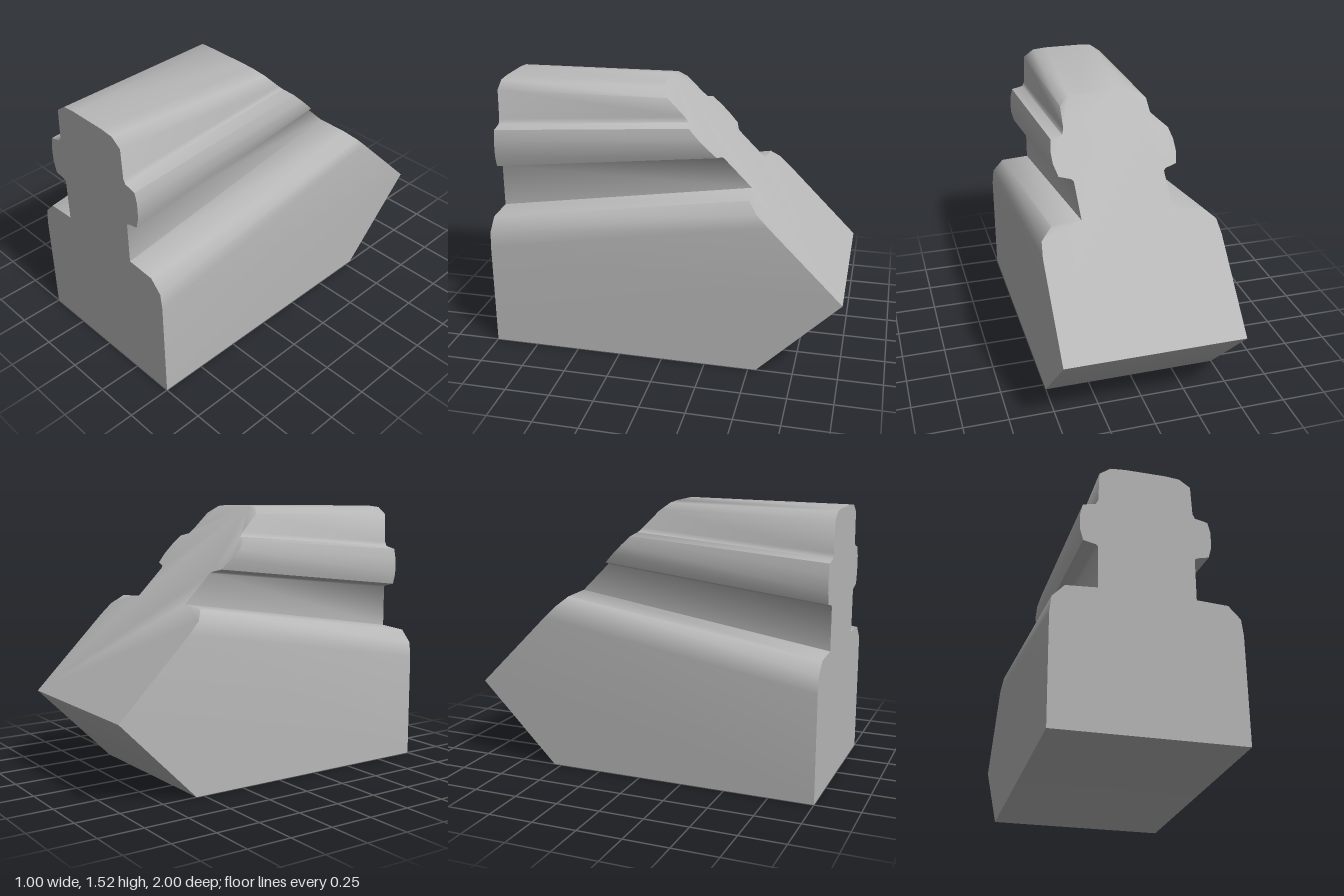
import * as THREE from 'three';
import { toCreasedNormals } from 'three/addons/utils/BufferGeometryUtils.js';

// Right half of the section, bottom to top: [x, y at the front, y at the slanted back]
const HALF = [
  [0.5, 0, 0.455],
  [0.5, 0.6, 0.87],
  [0.49, 0.69, 0.935],
  [0.425, 0.76, 0.987],
  [0.257, 0.77, 0.997],
  [0.257, 1.01, 1.155],
  [0.27, 1.02, 1.165],
  [0.335, 1.035, 1.18],
  [0.352, 1.1, 1.235],
  [0.352, 1.19, 1.285],
  [0.338, 1.25, 1.335],
  [0.27, 1.265, 1.35],
  [0.257, 1.29, 1.375],
  [0.25, 1.46, 1.472],
  [0.19, 1.503, 1.513],
  [0.11, 1.51, 1.52],
];
const FRONT_Z = 1;
const HEEL_Z = -0.545; // where the flat base ends
const backZ = (y) => y - 1.455; // 45 degree cut plane

function loftGeometry() {
  const section = [...HALF, ...HALF.map(([x, f, b]) => [-x, f, b]).reverse()];
  const front = section.map(([x, f]) => new THREE.Vector3(x, f, FRONT_Z));
  const back = section.map(([x, , b]) => new THREE.Vector3(x, b, backZ(b)));
  const heelL = new THREE.Vector3(0.5, 0, HEEL_Z);
  const heelR = new THREE.Vector3(-0.5, 0, HEEL_Z);
  const n = section.length;
  const pos = [];
  const tri = (...pts) => pts.forEach((p) => pos.push(p.x, p.y, p.z));
  const quad = (a, b, c, d) => { tri(a, b, c); tri(a, c, d); };

  // Long moulded surface between the two end sections
  for (let i = 0; i < n - 1; i++) {
    tri(front[i], back[i], front[i + 1]);
    tri(front[i + 1], back[i], back[i + 1]);
  }
  // Lower rear corners of the sides, flat base and undercut heel
  tri(front[0], heelL, back[0]);
  tri(front[n - 1], back[n - 1], heelR);
  quad(front[n - 1], heelR, heelL, front[0]);
  quad(heelL, heelR, back[n - 1], back[0]);

  // End faces
  const cap = (ring, flip) => {
    const outline = ring.map((p) => new THREE.Vector2(p.x, p.y));
    for (const [a, b, c] of THREE.ShapeUtils.triangulateShape(outline, [])) {
      if (flip) tri(ring[a], ring[c], ring[b]);
      else tri(ring[a], ring[b], ring[c]);
    }
  };
  cap(front, false);
  cap(back, true);

  const geometry = new THREE.BufferGeometry();
  geometry.setAttribute('position', new THREE.Float32BufferAttribute(pos, 3));
  return toCreasedNormals(geometry, THREE.MathUtils.degToRad(56));
}

export function createModel() {
  const grey = new THREE.MeshStandardMaterial({ color: 0xb8b8b8 });
  grey.name = 'plainGrey';
  const block = new THREE.Mesh(loftGeometry(), grey);
  block.name = 'mouldedBlock';
  const group = new THREE.Group();
  group.name = 'taperedRailBlock';
  group.add(block);
  return group;
}
